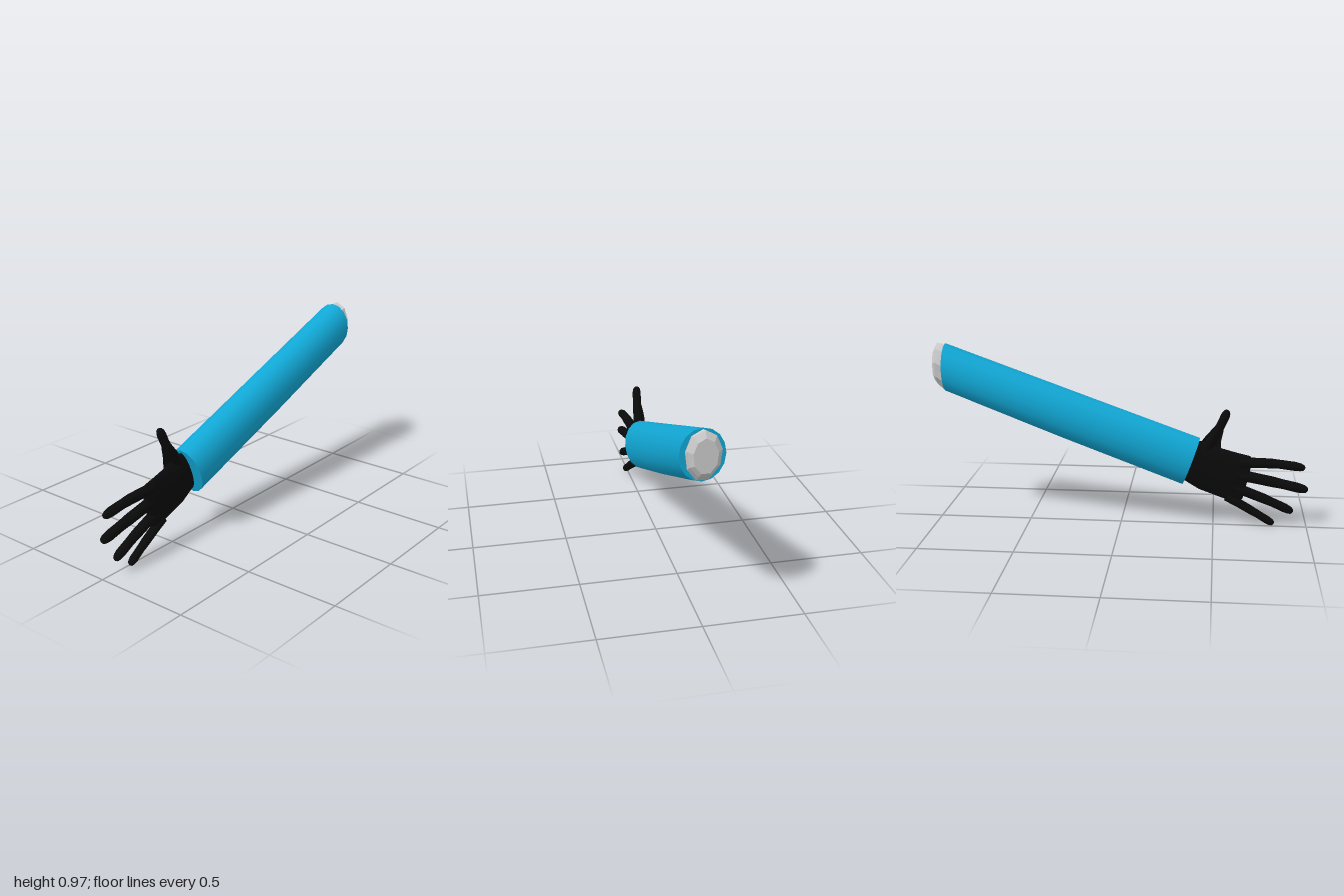
import * as THREE from 'three';

// Skins a row of elliptical sections [cx, cy, ux, uy, halfZ, cz], ordered so that (ux, uy) x z points along the row.
function loft(sections, sides) {
  const pos = [], idx = [];
  const addRing = ([cx, cy, ux, uy, hz, cz = 0]) => {
    const start = pos.length / 3;
    for (let j = 0; j < sides; j++) {
      const a = (j / sides) * Math.PI * 2, c = Math.cos(a), s = Math.sin(a);
      pos.push(cx + ux * c, cy + uy * c, cz + hz * s);
    }
    return start;
  };
  const starts = sections.map(addRing);
  for (let i = 0; i < starts.length - 1; i++) {
    for (let j = 0; j < sides; j++) {
      const k = (j + 1) % sides, a = starts[i], b = starts[i + 1];
      idx.push(a + j, a + k, b + j, a + k, b + k, b + j);
    }
  }
  // flat end caps with their own vertices, for crisp edges
  const first = addRing(sections[0]), last = addRing(sections[sections.length - 1]);
  for (let j = 1; j < sides - 1; j++) {
    idx.push(first, first + j + 1, first + j, last, last + j, last + j + 1);
  }
  const g = new THREE.BufferGeometry();
  g.setAttribute('position', new THREE.Float32BufferAttribute(pos, 3));
  g.setIndex(idx);
  g.computeVertexNormals();
  return g;
}

// Rounded digit running from its tip, through a bend, to its base.
function digit(tip, bend, base, radius, cz) {
  const v = (p) => new THREE.Vector2(p[0], p[1]);
  const curve = new THREE.QuadraticBezierCurve(v(tip), v(bend), v(base));
  const profile = [[0, 0.25], [0.02, 0.6], [0.07, 0.85], [0.16, 1], [0.4, 0.98], [0.55, 1.08], [0.8, 1.1], [1, 1.2]];
  return loft(profile.map(([t, k]) => {
    const p = curve.getPoint(t), d = curve.getTangent(t), r = radius * k;
    return [p.x, p.y, -d.y * r, d.x * r, r, cz * (1 - t)];
  }), 12);
}

export function createModel() {
  const model = new THREE.Group();
  const teal = new THREE.MeshStandardMaterial({ color: 0x11a8d6 });
  const black = new THREE.MeshStandardMaterial({ color: 0x0a0a0a });
  const grey = new THREE.MeshStandardMaterial({ color: 0xcccccc, flatShading: true });
  const add = (parent, name, geometry, material) => {
    const mesh = new THREE.Mesh(geometry, material);
    mesh.name = name;
    parent.add(mesh);
  };

  // Sleeve: square to the arm at the cuff, cut upright at the shoulder
  add(model, 'sleeve', loft([
    [-0.375, 0.358, -0.046, 0.129, 0.096],
    [0.3, 0.605, -0.03, 0.128, 0.103],
    [0.94, 0.844, 0, 0.128, 0.108],
  ], 16), teal);

  // Faceted arm stump showing past the shoulder opening
  add(model, 'armStump', loft([
    [0.9, 0.835, 0, 0.11, 0.075],
    [0.945, 0.843, 0, 0.125, 0.082],
    [0.982, 0.863, 0, 0.112, 0.08],
    [1.0, 0.86, 0, 0.085, 0.058],
  ], 9), grey);

  // Hand
  const hand = new THREE.Group();
  hand.name = 'hand';
  model.add(hand);

  // Palm: sections given by bottom point, top point, half thickness, z offset
  const palm = [
    [-0.655, 0.155, -0.7, 0.365, 0.016, 0.003],
    [-0.625, 0.128, -0.69, 0.393, 0.027, 0.002],
    [-0.53, 0.162, -0.6, 0.415, 0.031, 0],
    [-0.42, 0.202, -0.51, 0.44, 0.034, 0],
    [-0.35, 0.245, -0.43, 0.472, 0.036, -0.003],
    [-0.27, 0.29, -0.33, 0.46, 0.038, -0.003],
  ];
  add(hand, 'palm', loft(palm.map(([bx, by, tx, ty, hz, cz]) =>
    [(bx + tx) / 2, (by + ty) / 2, (tx - bx) / 2, (ty - by) / 2, hz, cz]), 16), black);

  // Digits: name, tip, bend, base, radius, z offset at the tip
  [
    ['indexFinger', [-0.98, 0.332], [-0.82, 0.365], [-0.64, 0.355], 0.025, 0.008],
    ['middleFinger', [-1.0, 0.21], [-0.84, 0.25], [-0.63, 0.288], 0.027, 0.008],
    ['ringFinger', [-0.925, 0.083], [-0.8, 0.15], [-0.6, 0.22], 0.025, 0.014],
    ['littleFinger', [-0.825, 0.012], [-0.73, 0.075], [-0.57, 0.165], 0.022, 0.012],
    ['thumb', [-0.562, 0.645], [-0.53, 0.54], [-0.45, 0.43], 0.024, -0.01],
  ].forEach(([name, tip, bend, base, r, cz]) => add(hand, name, digit(tip, bend, base, r, cz), black));

  // Web of flesh where the thumb meets the palm
  add(hand, 'thumbBase', loft([
    [-0.518, 0.54, -0.026, -0.009, 0.024, -0.008],
    [-0.49, 0.485, -0.042, -0.012, 0.03, -0.01],
    [-0.47, 0.42, -0.065, -0.018, 0.034, -0.006],
  ], 12), black);

  return model;
}
